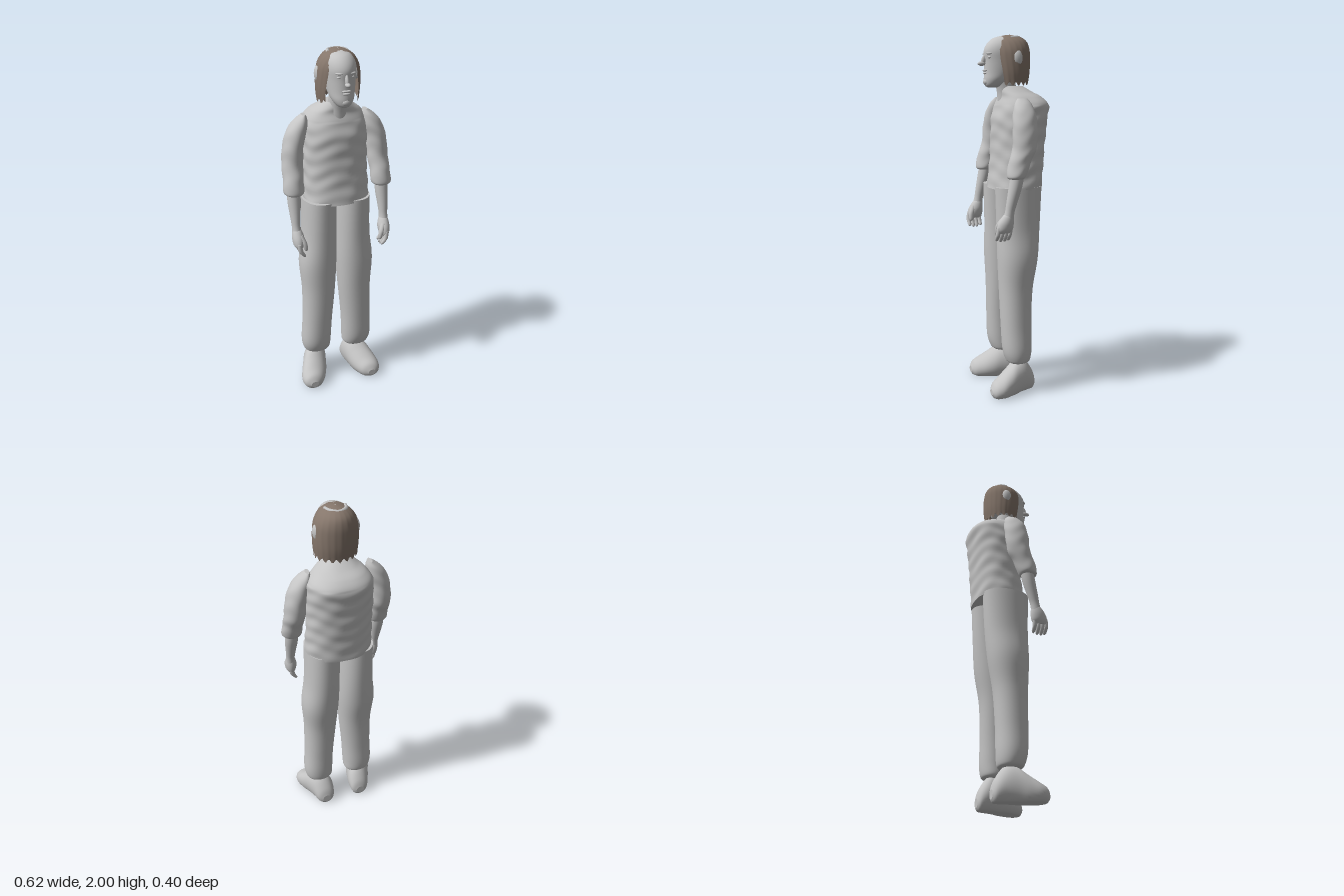
import * as THREE from 'three';

const grey = new THREE.MeshStandardMaterial({ color: 0xc4c4c4 });
grey.name = 'plain grey';
const brown = new THREE.MeshStandardMaterial({ color: 0x85766b, side: THREE.DoubleSide });
brown.name = 'hair brown';

// Catmull-Rom through rows of numbers
function smoothRows(rows, steps) {
  const out = [], n = rows.length;
  for (let i = 0; i < n - 1; i++) {
    const [p, a, b, q] = [rows[Math.max(i - 1, 0)], rows[i], rows[i + 1], rows[Math.min(i + 2, n - 1)]];
    for (let k = 0; k < steps; k++) {
      const t = k / steps;
      out.push(a.map((v, c) => v + 0.5 * t * (b[c] - p[c] + t * (2 * p[c] - 5 * v + 4 * b[c] - q[c] +
        t * (3 * (v - b[c]) + q[c] - p[c])))));
    }
  }
  out.push(rows[n - 1]);
  return out;
}

// Closed body through rings [y, centreX, centreZ, radiusX, radiusZ]
function loft(rings, { seg = 28, steps = 4, power = 2, ripple = null } = {}) {
  const rows = smoothRows([...rings].sort((a, b) => a[0] - b[0]), steps);
  const pos = [], idx = [];
  const ring = ([y, cx, cz, rx, rz]) => {
    for (let j = 0; j < seg; j++) {
      const a = (j / seg) * Math.PI * 2, c = Math.cos(a), s = Math.sin(a);
      const k = 1 + (ripple ? ripple(a, y) : 0);
      pos.push(cx + rx * k * Math.sign(c) * Math.abs(c) ** (2 / power), y,
        cz + rz * k * Math.sign(s) * Math.abs(s) ** (2 / power));
    }
  };
  rows.forEach(ring);
  for (let i = 0; i < rows.length - 1; i++) for (let j = 0; j < seg; j++) {
    const a = i * seg + j, b = i * seg + (j + 1) % seg;
    idx.push(a, a + seg, b, b, a + seg, b + seg);
  }
  for (const [row, top] of [[rows[0], false], [rows[rows.length - 1], true]]) {
    const base = pos.length / 3;
    ring(row);
    pos.push(row[1], row[0], row[2]);
    for (let j = 0; j < seg; j++) {
      const a = base + j, b = base + (j + 1) % seg;
      idx.push(base + seg, top ? b : a, top ? a : b);
    }
  }
  return finish(pos, idx);
}

function finish(pos, idx) {
  const g = new THREE.BufferGeometry();
  g.setAttribute('position', new THREE.Float32BufferAttribute(pos, 3));
  g.setIndex(idx);
  g.computeVertexNormals();
  return g;
}

// Hair shell, open at the front: rows [y, radiusX, radiusZ, half opening]
function hairShell(rows, seg = 48) {
  const pos = [], idx = [], w = seg + 1, all = smoothRows(rows, 4);
  all.forEach(([y, rx, rz, open], i) => {
    for (let j = 0; j <= seg; j++) {
      const a = Math.PI / 2 + open + (j / seg) * (Math.PI * 2 - 2 * open);
      const k = 1 + 0.012 * Math.sin(j * 2.1);
      const jag = i === 0 ? 0.012 * Math.sin(j * 1.7) : 0;
      pos.push(0.014 + rx * k * Math.cos(a), y + jag, 0.015 + rz * k * Math.sin(a));
    }
  });
  for (let i = 0; i < all.length - 1; i++) for (let j = 0; j < seg; j++) {
    const a = i * w + j;
    idx.push(a, a + w, a + 1, a + 1, a + w, a + w + 1);
  }
  return finish(pos, idx);
}

export function createModel() {
  const model = new THREE.Group();
  const add = (name, geo, mat = grey) => {
    const m = new THREE.Mesh(geo, mat);
    m.name = name;
    model.add(m);
    return m;
  };
  const blob = (name, x, y, z, sx, sy, sz) => {
    const m = add(name, new THREE.SphereGeometry(1, 16, 12));
    m.position.set(x, y, z);
    m.scale.set(sx, sy, sz);
    return m;
  };

  // Shirt with cloth wrinkles
  add('shirt', loft([
    [1.165, 0.012, -0.012, 0.186, 0.143], [1.3, 0.012, -0.025, 0.18, 0.14],
    [1.45, 0.012, -0.035, 0.178, 0.143], [1.55, 0.014, -0.042, 0.178, 0.147],
    [1.62, 0.016, -0.055, 0.17, 0.142], [1.665, 0.014, -0.045, 0.138, 0.118],
    [1.695, 0.012, -0.018, 0.098, 0.092], [1.725, 0.01, 0.005, 0.062, 0.066],
  ], {
    seg: 72, steps: 10, power: 2.3,
    ripple: (a, y) => (y > 1.62 ? 0.3 : 1) *
      (0.012 * Math.sin(y * 75 + 2 * Math.sin(3 * a)) + 0.007 * Math.sin(7 * a + y * 40)),
  }));

  // Neck and head
  add('neck', loft([[1.64, 0.01, 0.02, 0.06, 0.06], [1.7, 0.01, 0.03, 0.053, 0.055], [1.78, 0.012, 0.045, 0.053, 0.06]]));
  add('head', loft([
    [1.718, 0.013, 0.115, 0.02, 0.025], [1.73, 0.013, 0.108, 0.04, 0.048], [1.76, 0.013, 0.088, 0.06, 0.073],
    [1.8, 0.013, 0.06, 0.072, 0.098], [1.86, 0.013, 0.045, 0.08, 0.113], [1.91, 0.013, 0.04, 0.084, 0.121],
    [1.95, 0.013, 0.033, 0.078, 0.11], [1.98, 0.013, 0.026, 0.056, 0.083], [1.994, 0.013, 0.022, 0.025, 0.038],
  ], { seg: 40 }));

  // Face details
  blob('noseBridge', 0.013, 1.866, 0.161, 0.01, 0.034, 0.016).rotation.x = -0.35;
  blob('noseTip', 0.013, 1.845, 0.176, 0.014, 0.012, 0.023);
  blob('upperLip', 0.013, 1.809, 0.157, 0.025, 0.006, 0.011);
  blob('lowerLip', 0.013, 1.795, 0.154, 0.021, 0.007, 0.012);
  blob('chin', 0.013, 1.749, 0.146, 0.024, 0.02, 0.02);
  for (const s of [-1, 1]) {
    blob('eye', 0.013 + s * 0.033, 1.878, 0.141, 0.014, 0.007, 0.011);
    blob('brow', 0.013 + s * 0.034, 1.898, 0.146, 0.022, 0.006, 0.011).rotation.y = s * 0.35;
    blob('ear', 0.013 + s * 0.103, 1.872, 0.008, 0.021, 0.045, 0.03);
  }

  // Hair and the bare patch on the crown
  add('hair', hairShell([
    [1.738, 0.112, 0.098, 0.9], [1.8, 0.118, 0.108, 0.85], [1.87, 0.117, 0.111, 0.75], [1.92, 0.109, 0.109, 0.7],
    [1.96, 0.087, 0.097, 0.55], [1.985, 0.056, 0.07, 0.15], [1.995, 0.03, 0.038, 0.02], [2, 0.003, 0.003, 0],
  ]), brown);
  const arc = new THREE.CatmullRomCurve3([[-0.042, 1.982, 0.03], [-0.03, 1.985, -0.015], [0.013, 1.984, -0.037],
    [0.052, 1.985, -0.012], [0.064, 1.981, 0.03]].map(p => new THREE.Vector3(...p)));
  add('barePatch', new THREE.TubeGeometry(arc, 24, 0.01, 8));

  for (const s of [-1, 1]) {
    const side = rings => rings.map(([y, x, ...r]) => [y, s * x, ...r]);

    // Sleeve, forearm and hand
    add('sleeve', loft(side([
      [1.243, 0.25, 0.07, 0.042, 0.042], [1.26, 0.251, 0.068, 0.056, 0.052], [1.33, 0.248, 0.048, 0.055, 0.06],
      [1.4, 0.243, 0.02, 0.058, 0.065], [1.5, 0.235, 0.012, 0.056, 0.068], [1.58, 0.212, 0.008, 0.054, 0.062],
      [1.63, 0.19, 0.005, 0.037, 0.048], [1.662, 0.172, 0.003, 0.012, 0.026],
    ]), { seg: 36, steps: 6, ripple: (a, y) => 0.02 * Math.sin(y * 70 + 2 * Math.sin(2 * a)) }));
    add('forearm', loft(side([
      [1.03, 0.253, 0.116, 0.026, 0.03], [1.07, 0.254, 0.107, 0.024, 0.026], [1.12, 0.254, 0.095, 0.028, 0.03],
      [1.2, 0.253, 0.075, 0.036, 0.036], [1.27, 0.252, 0.062, 0.037, 0.037],
    ])));
    add('palm', loft(side([
      [0.955, 0.25, 0.137, 0.018, 0.036], [0.975, 0.25, 0.134, 0.029, 0.045], [1.01, 0.25, 0.127, 0.033, 0.043],
      [1.045, 0.252, 0.116, 0.026, 0.03], [1.06, 0.253, 0.11, 0.018, 0.02],
    ])));
    for (let k = 0; k < 4; k++) {
      const z = 0.102 + 0.022 * k, low = 0.9 + 0.006 * Math.abs(k - 1.5);
      add('finger', loft(side([
        [low, 0.226, z + 0.004, 0.004, 0.004], [low + 0.01, 0.231, z + 0.004, 0.011, 0.01],
        [0.945, 0.248, z + 0.004, 0.013, 0.012], [0.985, 0.254, z, 0.013, 0.012],
      ]), { seg: 10, steps: 3 }));
    }
    add('thumb', loft(side([
      [0.942, 0.216, 0.166, 0.004, 0.004], [0.952, 0.217, 0.166, 0.011, 0.012],
      [0.99, 0.225, 0.162, 0.014, 0.015], [1.03, 0.242, 0.142, 0.014, 0.016],
    ]), { seg: 12 }));

    // Trouser leg
    add('trouserLeg', loft([
      [0.178, 0.122, 0.012, 0.066, 0.056], [0.195, 0.124, 0.012, 0.081, 0.07], [0.26, 0.127, 0.017, 0.088, 0.082],
      [0.4, 0.12, 0.02, 0.088, 0.086], [0.6, 0.11, 0.018, 0.096, 0.094], [0.78, 0.11, 0.007, 0.107, 0.113],
      [0.95, 0.1, 0, 0.098, 0.122], [1.18, 0.097, -0.003, 0.095, 0.132],
    ].map(([y, x, ...r]) => [y, s * x + 0.006, ...r]), { seg: 40, steps: 6, power: 2.15 }));

    // Shoe, lofted heel to toe with a flat sole
    const shoe = loft([
      [-0.092, 0.113, -0.04, 0.025, 0.025], [-0.075, 0.114, -0.055, 0.052, 0.062], [-0.025, 0.122, -0.085, 0.068, 0.1],
      [0.03, 0.138, -0.08, 0.073, 0.102], [0.08, 0.155, -0.06, 0.077, 0.085], [0.13, 0.172, -0.045, 0.073, 0.064],
      [0.17, 0.18, -0.038, 0.054, 0.046], [0.19, 0.183, -0.033, 0.022, 0.018],
    ].map(([z, x, ...r]) => [z, s * x, ...r]), { seg: 36, steps: 5 }).rotateX(Math.PI / 2);
    const p = shoe.attributes.position;
    for (let i = 0; i < p.count; i++) p.setY(i, Math.max(0, p.getY(i)));
    shoe.computeVertexNormals();
    add('shoe', shoe);
  }
  return model;
}
